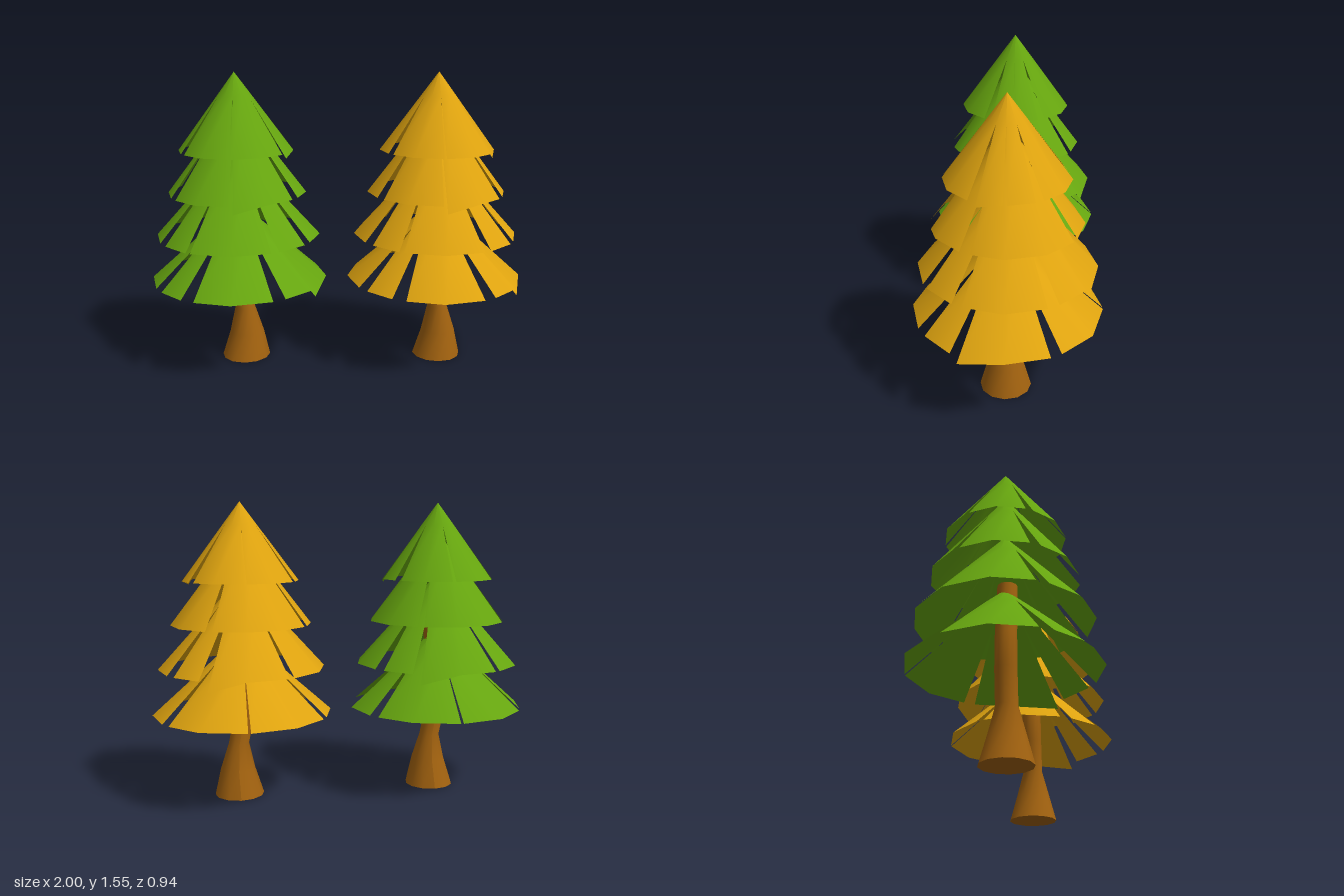
import * as THREE from 'three';

const material = (name, color, side = THREE.FrontSide) =>
  Object.assign(new THREE.MeshStandardMaterial({ color, side }), { name });

const STEP = Math.PI / 6; // twelve-sided foliage cones

// Foliage tiers, bottom to top. slits: corner index of each cut;
// gaps: how much of a side each cut opens; droop: [cut, drop] of a hanging corner.
const TIERS = [
  { name: 'bottomFoliage', apex: 0.87, rim: 0.45, r: 0.47, slits: [1, 2, 4, 5, 7, 9, 11], gaps: [0.15, 0.3, 0.32, 0.3, 0.2, 0.06, 0.25], droop: [1, 0.045] },
  { name: 'lowerFoliage', apex: 1.17, rim: 0.69, r: 0.435, slits: [1, 2, 4, 5, 8, 10, 11], gaps: [0.25, 0.2, 0.12, 0.3, 0.15, 0.2, 0.28], droop: [10, 0.055] },
  { name: 'upperFoliage', apex: 1.4, rim: 0.92, r: 0.365, slits: [1, 3, 5, 7, 10], gaps: [0.3, 0.12, 0.3, 0.2, 0.2], droop: [3, 0.04] },
  { name: 'topFoliage', apex: 1.55, rim: 1.145, r: 0.302, slits: [0, 1, 3, 5, 7, 9, 11], gaps: [0.12, 0.25, 0.08, 0.25, 0.2, 0.12, 0.28], droop: [1, 0.025] },
];

// A cone cut into leaf panels by wedge-shaped slits that widen towards the rim
function tierGeometry({ apex, rim, r, slits, gaps, droop }) {
  const at = (i, t) => new THREE.Vector3(
    Math.cos(i * STEP) * r * t, apex + (rim - apex) * t, Math.sin(i * STEP) * r * t);
  const positions = [], normals = [], index = [];
  const add = (p, i) => {
    const n = new THREE.Vector3(Math.cos(i * STEP) * (apex - rim), r, Math.sin(i * STEP) * (apex - rim)).normalize();
    positions.push(...p.toArray());
    normals.push(...n.toArray());
    return positions.length / 3 - 1;
  };
  slits.forEach((start, k) => {
    const next = (k + 1) % slits.length;
    const end = slits[next] + (next === 0 ? 12 : 0);
    const cutTop = 0.3;
    const columns = [];
    for (let i = start; i <= end; i++) {
      const edge = at(i, 1);
      if (i === start) edge.lerp(at(i + 1, 1), gaps[k] * 0.4);
      if (i === end) {
        edge.lerp(at(i - 1, 1), gaps[next] * 0.6);
        if (slits[next] === droop[0]) edge.y -= droop[1];
      }
      columns.push([add(at(i, cutTop), i), add(edge, i)]);
    }
    for (let j = 0; j < columns.length - 1; j++) {
      const [a, b] = columns[j], [c, d] = columns[j + 1];
      const tip = add(new THREE.Vector3(0, apex, 0), start + j + 0.5);
      index.push(tip, c, a, a, c, d, a, d, b);
    }
  });
  const geometry = new THREE.BufferGeometry();
  geometry.setAttribute('position', new THREE.Float32BufferAttribute(positions, 3));
  geometry.setAttribute('normal', new THREE.Float32BufferAttribute(normals, 3));
  geometry.setIndex(index);
  return geometry;
}

// Crooked trunk: rings of [y, centre x, radius]
function trunkGeometry() {
  const rings = [[0, 0.025, 0.13], [0.14, 0.032, 0.092], [0.28, 0.025, 0.054],
    [0.45, -0.01, 0.054], [0.62, -0.015, 0.053], [0.9, 0.022, 0.05]];
  const geometry = new THREE.CylinderGeometry(1, 1, 1, 12, rings.length - 1, false, Math.PI);
  const p = geometry.attributes.position;
  for (let i = 0; i < p.count; i++) {
    const [y, cx, radius] = rings[Math.round((p.getY(i) + 0.5) * (rings.length - 1))];
    p.setXYZ(i, cx + p.getX(i) * radius, y, 0.01 + p.getZ(i) * radius);
  }
  geometry.computeVertexNormals();
  return geometry;
}

export function createModel() {
  const model = new THREE.Group();
  model.name = 'twoFirTrees';
  const bark = material('barkBrown', 0xa2620f);
  const green = material('leafGreen', 0x66a50f, THREE.DoubleSide);
  const amber = material('leafAmber', 0xdea30f, THREE.DoubleSide);
  const trunk = trunkGeometry();
  const tiers = TIERS.map(tierGeometry);

  [['greenTree', -0.528, green], ['amberTree', 0.528, amber]].forEach(([name, x, leaf]) => {
    const tree = new THREE.Group();
    tree.name = name;
    tree.position.x = x;
    const add = (part, geometry, mat) => {
      const mesh = new THREE.Mesh(geometry, mat);
      mesh.name = part;
      tree.add(mesh);
    };
    add('trunk', trunk, bark);
    tiers.forEach((geometry, i) => add(TIERS[i].name, geometry, leaf));
    model.add(tree);
  });
  return model;
}
